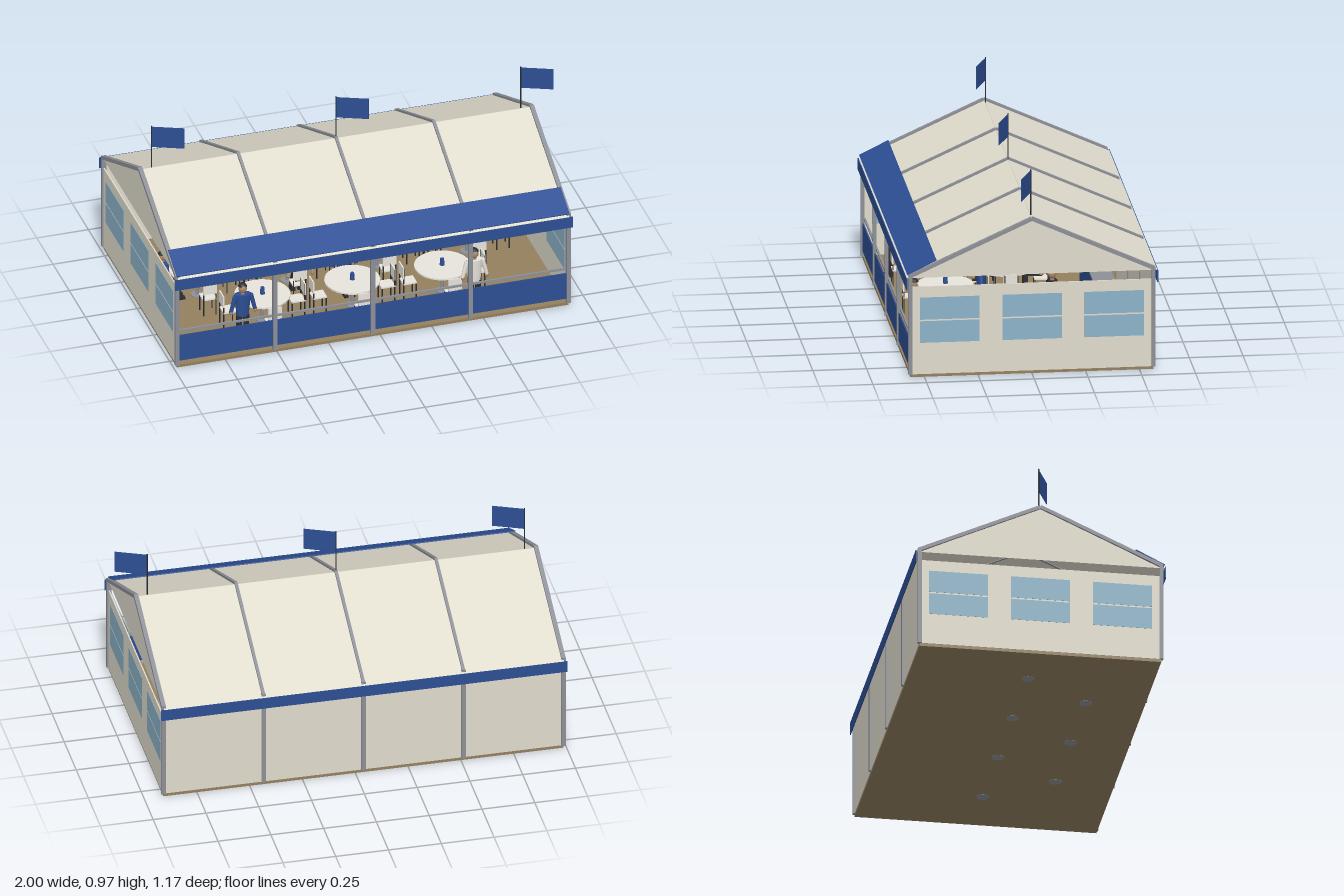
import * as THREE from 'three';

const flat = (color, name) => Object.assign(new THREE.MeshStandardMaterial({ color }), { name });
const M = {
  canvas: flat(0xe0dccd, 'cream canvas'),
  blue: flat(0x2d4f94, 'blue fabric'),
  metal: flat(0x8d9097, 'grey metal'),
  glass: flat(0x8cb2c8, 'window blue'),
  floor: flat(0x94805f, 'wooden floor'),
  dark: flat(0x2b2d33, 'dark'),
  skin: flat(0xb08a6a, 'skin'),
  white: flat(0xe9e6de, 'white'),
  tan: flat(0xb59f7c, 'tan cloth'),
};
M.canvas.side = M.blue.side = THREE.DoubleSide;

const XC = -0.0375, HX = 0.947, HZ = 0.565;        // tent middle and half sizes
const RIDGE = 0.742, EAVE = 0.478;

function add(parent, name, geo, mat, x = 0, y = 0, z = 0) {
  const m = new THREE.Mesh(geo, mat);
  m.name = name;
  m.position.set(x, y, z);
  parent.add(m);
  return m;
}
const box = (p, name, mat, w, h, d, x, y, z) => add(p, name, new THREE.BoxGeometry(w, h, d), mat, x, y, z);
const cyl = (p, name, mat, rt, rb, h, x, y, z, n = 12) =>
  add(p, name, new THREE.CylinderGeometry(rt, rb, h, n), mat, x, y, z);
function group(parent, name, x = 0, y = 0, z = 0, turn = 0) {
  const g = new THREE.Group();
  g.name = name;
  g.position.set(x, y, z);
  g.rotation.y = turn;
  parent.add(g);
  return g;
}

// Sloping slab running along x between two points given as [z, y]
function slope(parent, name, mat, width, thick, x, a, b) {
  const dz = b[0] - a[0], dy = b[1] - a[1];
  const m = box(parent, name, mat, width, thick, Math.hypot(dz, dy), x, (a[1] + b[1]) / 2, (a[0] + b[0]) / 2);
  m.rotation.x = -Math.atan2(dy, dz);
  return m;
}

function buildFrame(root) {
  const frame = group(root, 'frame');
  for (let i = 0; i < 5; i++) {
    const x = XC + (i - 2) * 0.4735;
    const end = i === 0 || i === 4;
    for (const s of [-1, 1]) {
      box(frame, 'post', M.metal, 0.02, 0.478, 0.018, x, 0.253, s * HZ);
      slope(frame, 'rafter', M.metal, end ? 0.02 : 0.014, 0.017, x, [s * 0.57, 0.487], [0, 0.746]);
    }
  }
  // handrail across the open front
  box(frame, 'handrail', M.metal, 2 * HX, 0.009, 0.009, XC, 0.19, 0.555);
}

function buildCanvas(root) {
  const tent = group(root, 'canvas');
  for (const s of [-1, 1]) {
    slope(tent, 'roof', M.canvas, 2 * HX, 0.004, XC, [s * 0.582, EAVE], [0, RIDGE]);
    box(tent, 'fascia', M.blue, 1.925, 0.056, 0.005, XC, 0.452, s * 0.583);
    // gable triangle
    const tri = new THREE.Shape([[-HZ, EAVE], [HZ, EAVE], [0, RIDGE]].map(([a, b]) => new THREE.Vector2(a, b)));
    add(tent, 'gable', new THREE.ShapeGeometry(tri), M.canvas, XC + s * HX, 0, 0).rotation.y = s * Math.PI / 2;
    // end wall with three two-pane windows
    box(tent, 'endWall', M.canvas, 0.006, 0.422, 2 * HZ, XC + s * HX, 0.225, 0);
    for (const z of [-0.383, 0, 0.383])
      for (const [y, h] of [[0.217, 0.104], [0.33, 0.107]])
        box(tent, 'window', M.glass, 0.009, h, 0.276, XC + s * HX, y, z);
  }
  box(tent, 'backWall', M.canvas, 2 * HX, 0.45, 0.006, XC, 0.24, -HZ + 0.002);
  // blue band over the front eave
  slope(tent, 'roofBand', M.blue, 1.9, 0.005, XC - 0.002, [0.58, 0.495], [0.444, 0.562]);
  // blue skirts between the front posts
  for (let i = 0; i < 4; i++)
    box(tent, 'skirt', M.blue, 0.455, 0.135, 0.006, XC + (i - 1.5) * 0.4735, 0.102, 0.562);
}

function buildFlag(root, x) {
  const flag = group(root, 'flag', x, 0, 0);
  cyl(flag, 'flagPole', M.dark, 0.003, 0.003, 0.22, 0, 0.857, 0, 8);
  const cloth = group(flag, 'flagCloth', 0, 0.909, 0, -Math.atan2(0.06, 0.14));
  box(cloth, 'cloth', M.blue, 0.152, 0.108, 0.002, 0.076, 0, 0);
}

function buildChair(parent, x, z, turn) {
  const c = group(parent, 'chair', x, 0.015, z, turn);
  box(c, 'seat', M.white, 0.066, 0.007, 0.066, 0, 0.083, 0);
  box(c, 'backrest', M.white, 0.066, 0.06, 0.006, 0, 0.143, -0.032);
  for (const sx of [-1, 1]) {
    box(c, 'frontLeg', M.dark, 0.005, 0.08, 0.005, sx * 0.03, 0.04, 0.03);
    box(c, 'backLeg', M.dark, 0.005, 0.17, 0.005, sx * 0.03, 0.085, -0.031);
  }
}

function buildTable(root, x, z) {
  const t = group(root, 'table', x, 0, z);
  cyl(t, 'tableFoot', M.metal, 0.03, 0.03, 0.02, 0, 0.009, 0, 16);
  cyl(t, 'tableStem', M.metal, 0.008, 0.008, 0.13, 0, 0.08, 0);
  cyl(t, 'tableTop', M.white, 0.13, 0.13, 0.008, 0, 0.149, 0, 28);
  cyl(t, 'vase', M.blue, 0.009, 0.012, 0.035, 0, 0.17, 0);
  for (let k = 0; k < 4; k++) {
    const a = k * Math.PI / 2;
    buildChair(t, Math.sin(a) * 0.165, Math.cos(a) * 0.165, a + Math.PI);
  }
}

// Simple figure facing its own +z
function buildPerson(root, x, z, turn, shirt, seated) {
  const p = group(root, seated ? 'seatedGuest' : 'standingWaiter', x, 0.015, z, turn);
  const hip = seated ? 0.095 : 0.16;
  for (const s of [-1, 1]) {
    if (seated) {
      box(p, 'thigh', M.dark, 0.023, 0.022, 0.085, s * 0.016, 0.1, 0.035);
      box(p, 'shin', M.dark, 0.02, 0.095, 0.02, s * 0.016, 0.048, 0.07);
    } else cyl(p, 'leg', M.dark, 0.015, 0.011, 0.16, s * 0.017, 0.08, 0);
    box(p, 'shoe', M.dark, 0.02, 0.012, 0.04, s * 0.017, 0.006, seated ? 0.08 : 0.008);
    const arm = cyl(p, 'arm', shirt, 0.011, 0.009, 0.085, s * 0.048, hip + 0.066, 0.005);
    arm.rotation.z = s * 0.25;
    add(p, 'hand', new THREE.SphereGeometry(0.01, 8, 6), M.skin, s * 0.058, hip + 0.022, 0.007);
  }
  cyl(p, 'torso', shirt, 0.04, 0.03, 0.115, 0, hip + 0.055, 0).scale.z = 0.6;
  cyl(p, 'neck', M.skin, 0.009, 0.01, 0.02, 0, hip + 0.118, 0);
  add(p, 'head', new THREE.SphereGeometry(0.02, 12, 10), M.skin, 0, hip + 0.143, 0).scale.y = 1.25;
  add(p, 'hair', new THREE.SphereGeometry(0.021, 12, 6, 0, Math.PI * 2, 0, 1.4), M.dark, 0, hip + 0.149, -0.003);
}

export function createModel() {
  const root = new THREE.Group();
  root.name = 'eventTent';
  box(root, 'floor', M.floor, 2 * HX, 0.014, 2 * HZ, XC, 0.007, 0);
  buildFrame(root);
  buildCanvas(root);
  for (const x of [-0.93, XC, 0.857]) buildFlag(root, x);

  // serving counter along the back
  box(root, 'counter', M.blue, 0.8, 0.185, 0.08, XC, 0.107, -0.42);
  box(root, 'counterTop', M.metal, 0.83, 0.012, 0.1, XC, 0.206, -0.42);

  for (const x of [0.385, -0.05, -0.485]) buildTable(root, x, 0.29);
  for (const x of [0.6, 0.165, -0.27, -0.705]) buildTable(root, x, -0.015);

  // guests and waiters: x, z, turn, shirt, seated
  const people = [
    [-0.87, -0.015, Math.PI / 2, M.blue, true],
    [-0.3, -0.18, 0, M.tan, true],
    [-0.255, 0.15, Math.PI, M.tan, true],
    [-0.04, 0.125, 0, M.blue, true],
    [0.18, -0.18, 0, M.dark, true],
    [-0.64, 0.48, 0, M.blue, false],
    [0.475, 0.5, 0, M.white, false],
  ];
  for (const p of people) buildPerson(root, ...p);
  return root;
}
